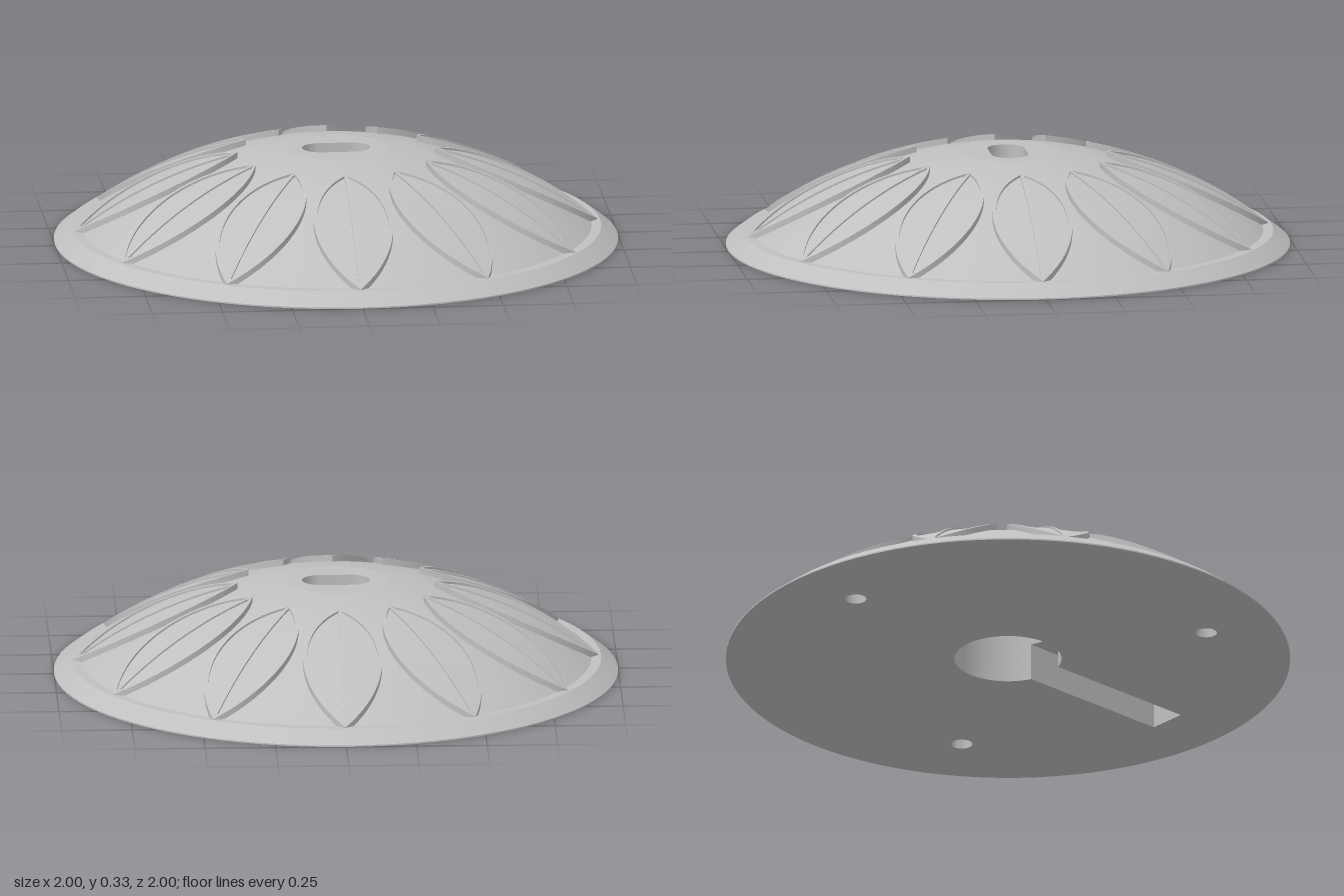
import * as THREE from 'three';
import { toCreasedNormals, mergeGeometries } from 'three/addons/utils/BufferGeometryUtils.js';

const SEG = 96, R = 1.53, APEX = 0.3456;
const TOP_R = 0.18, TOP_Y = APEX - R + Math.sqrt(R * R - TOP_R * TOP_R);
const domeY = (r) => APEX - R + Math.sqrt(R * R - r * r);

const grey = new THREE.MeshStandardMaterial({ color: 0xc0c0c0, side: THREE.DoubleSide });
grey.name = 'light grey';

// Outline points are [x, z], counter-clockwise
const arc = (cx, cz, r, a0, a1, n) => Array.from({ length: n + 1 }, (_, i) => {
  const a = a0 + (a1 - a0) * i / n;
  return new THREE.Vector2(cx + r * Math.cos(a), cz + r * Math.sin(a));
});
const circle = (cx, cz, r, n) => arc(cx, cz, r, 0, Math.PI * 2, n).slice(0, n);

// Level plate with openings, facing up or down
function plate(outline, holes, y, up = false) {
  const shape = new THREE.Shape(outline);
  holes.forEach((h) => shape.holes.push(new THREE.Path(h)));
  return new THREE.ShapeGeometry(shape).rotateX(up ? -Math.PI / 2 : Math.PI / 2).translate(0, y, 0);
}

// Grid of rows of points joined into a smooth strip
function grid(rows) {
  const pos = rows.flat(2), n = rows[0].length, index = [];
  for (let i = 0; i < rows.length - 1; i++) {
    for (let j = 0; j < n - 1; j++) {
      const a = i * n + j, b = a + 1, c = b + n, d = a + n;
      index.push(a, b, c, a, c, d);
    }
  }
  const g = new THREE.BufferGeometry();
  g.setAttribute('position', new THREE.Float32BufferAttribute(pos, 3));
  g.setIndex(index);
  g.computeVertexNormals();
  return g;
}

// Upright wall of a pocket, facing into the pocket
function wall(outline, y0, y1) {
  const loop = [...outline, outline[0]];
  const g = grid([loop.map((p) => [p.x, y0, p.y]), loop.map((p) => [p.x, y1, p.y])]);
  return toCreasedNormals(g, 0.6);
}

function petalGeometry() {
  const inner = 0.35, outer = 0.93, half = 0.14, steps = 36;
  const mid = (inner + outer) / 2, len = (outer - inner) / 2;
  const arcR = (len * len + half * half) / (2 * half);
  // Cross-section corners, from the left edge to the right: [offset, height above dome]
  const section = (a) => {
    const w = Math.max(0, Math.sqrt(arcR * arcR - (a - mid) ** 2) - (arcR - half));
    const wi = Math.max(0, w - 0.014), v = Math.min(0.006, wi);
    const side = [[w, -0.01], [w, 0.022], [wi, 0.022], [wi, 0.014], [v, 0.014], [v, 0.021]];
    return [...side.map(([z, h]) => [-z, h]), ...side.slice().reverse()];
  };
  const rows = [];
  for (let i = 0; i <= steps; i++) {
    const a = mid - len * Math.cos(Math.PI * i / steps);
    rows.push(section(a).map(([z, h]) => [a, domeY(Math.hypot(a, z)) + h, z]));
  }
  // One strip per facet keeps the borders sharp
  const strips = [];
  for (let j = 0; j < rows[0].length - 1; j++) strips.push(grid(rows.map((r) => r.slice(j, j + 2))));
  return mergeGeometries(strips);
}

export function createModel() {
  const model = new THREE.Group();
  model.name = 'petalledDome';
  const add = (name, geometry, parent = model) => {
    const m = new THREE.Mesh(geometry, grey);
    m.name = name;
    parent.add(m);
    return m;
  };
  const lathe = (pts) => new THREE.LatheGeometry(pts.map(([x, y]) => new THREE.Vector2(x, y)), SEG);

  // Outer rim, ledge and dome
  add('rimEdge', lathe([[1, 0], [1, 0.005]]));
  add('rimSlope', lathe([[1, 0.005], [0.97, 0.028], [0.94, 0.05]]));
  add('ledge', lathe([[0.94, 0.05], [0.905, 0.05]]));
  const profile = [];
  for (let i = 0; i <= 28; i++) {
    const r = 0.905 + (TOP_R - 0.905) * i / 28;
    profile.push([r, domeY(r)]);
  }
  add('dome', lathe(profile));

  // Rounded slot through the top
  const slot = [
    ...arc(0.055, 0, 0.066, -Math.PI / 2, Math.PI / 2, 16),
    ...arc(-0.055, 0, 0.066, Math.PI / 2, Math.PI * 1.5, 16),
  ];
  add('domeTop', plate(circle(0, 0, TOP_R, SEG), [slot], TOP_Y, true));

  // Twelve raised petals
  const petals = new THREE.Group();
  petals.name = 'petals';
  model.add(petals);
  const petal = petalGeometry();
  for (let k = 0; k < 12; k++) add('petal', petal, petals).rotation.y = k * Math.PI / 6;

  // Underside: round recess with a channel running out of it
  const recessR = 0.19, recessY = 0.22, channelY = 0.135, channelW = 0.07, channelEnd = 0.77;
  const open = Math.asin(channelW / recessR), turn = Math.PI / 3;
  const rotate = (pts) => pts.map((p) => p.clone().rotateAround(new THREE.Vector2(), turn));
  const endA = new THREE.Vector2(channelEnd, -channelW), endB = new THREE.Vector2(channelEnd, channelW);
  const keyhole = rotate([...arc(0, 0, recessR, open, Math.PI * 2 - open, 56), endA, endB]);
  const channel = rotate([endA, endB, ...arc(0, 0, recessR, open, -open, 8)]);
  const recess = circle(0, 0, recessR, 64);
  add('recessAndChannelWall', wall(keyhole, 0, channelY));
  add('channelCeiling', plate(channel, [], channelY));
  add('recessUpperWall', wall(recess, channelY, recessY));
  add('recessCeiling', plate(recess, [slot], recessY));
  add('slotWall', wall(slot, recessY, TOP_Y));

  // Three blind screw holes
  const screwHoles = [0, 1, 2].map((k) => {
    const a = k * Math.PI * 2 / 3;
    return circle(0.735 * Math.cos(a), 0.735 * Math.sin(a), 0.038, 24);
  });
  screwHoles.forEach((h) => {
    add('screwHoleWall', wall(h, 0, 0.1));
    add('screwHoleCeiling', plate(h, [], 0.1));
  });
  add('underside', plate(circle(0, 0, 1, SEG), [keyhole, ...screwHoles], 0));

  return model;
}
